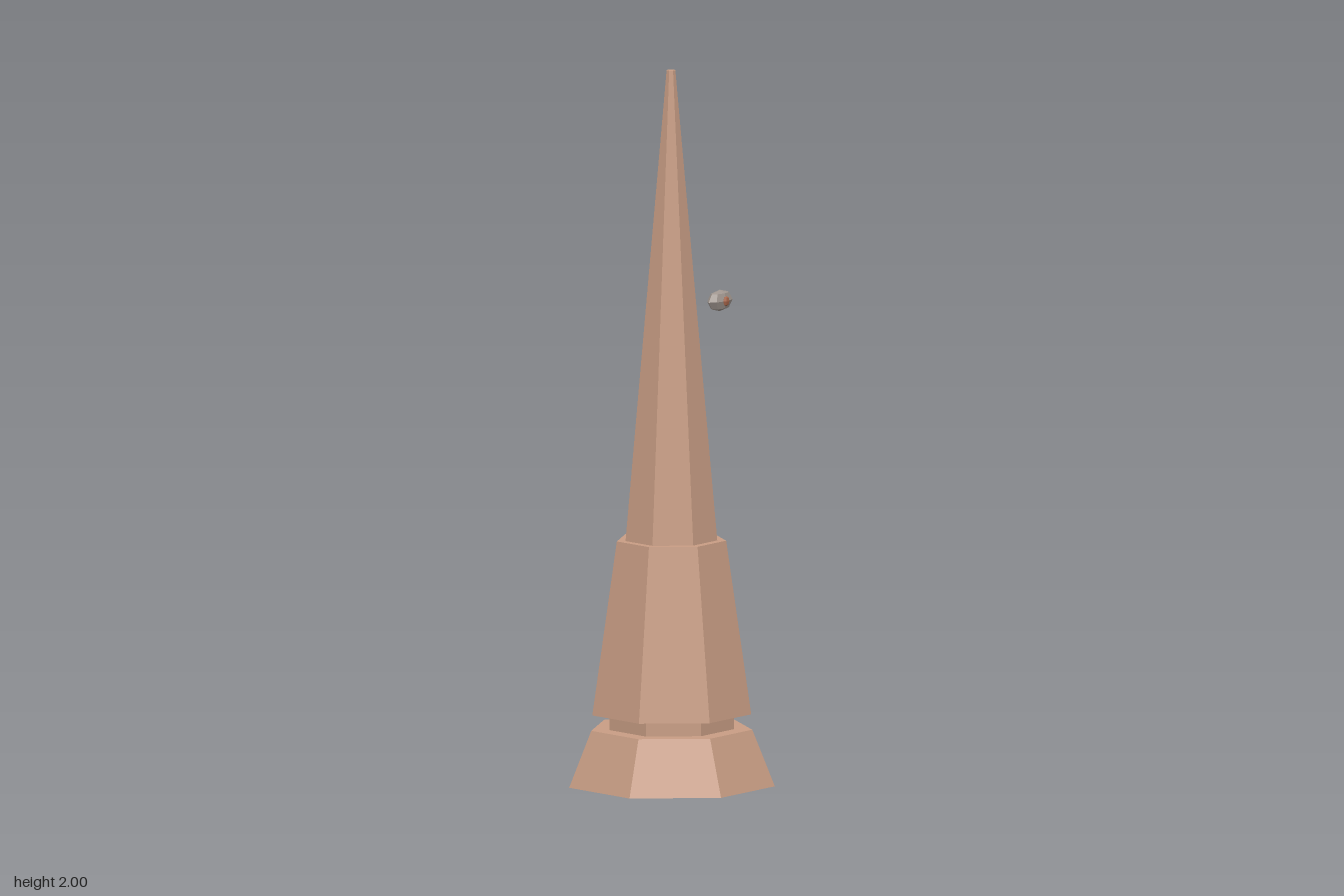
import * as THREE from 'three';

const SIDES = 7;
const CENTER_Z = 0.0125;

function material(name, color) {
  const m = new THREE.MeshStandardMaterial({ color, flatShading: true });
  m.name = name;
  return m;
}

export function createModel() {
  const group = new THREE.Group();
  group.name = 'tower';
  const stone = material('tan stone', 0xc89d84);
  const grey = material('warm grey', 0xa0968f);
  const rust = material('rust', 0xa8664a);

  // Seven-sided tapered tiers with one corner pointing back
  const tiers = [
    ['base', 0, 0.157, 0.2925, 0.229],
    ['neck', 0.157, 0.2, 0.177, 0.177],
    ['lowerTower', 0.2, 0.685, 0.226, 0.1555],
    ['spire', 0.685, 2, 0.1305, 0.0125],
  ];
  for (const [name, y0, y1, r0, r1] of tiers) {
    const geometry = new THREE.CylinderGeometry(r1, r0, y1 - y0, SIDES, 1, false, Math.PI);
    const mesh = new THREE.Mesh(geometry, stone);
    mesh.name = name;
    mesh.position.set(0, (y0 + y1) / 2, CENTER_Z);
    group.add(mesh);
  }

  // Floating faceted eye in front of the spire
  const eye = new THREE.Group();
  eye.name = 'floatingEye';
  eye.position.set(0, 1.37, 0.18);

  const eyeball = new THREE.Mesh(new THREE.SphereGeometry(1, 8, 4), grey);
  eyeball.name = 'eyeball';
  eyeball.scale.set(0.053, 0.03, 0.023);

  const pupil = new THREE.Mesh(new THREE.SphereGeometry(1, 6, 4), rust);
  pupil.name = 'pupil';
  pupil.position.z = 0.022;
  pupil.scale.set(0.014, 0.014, 0.007);

  eye.add(eyeball, pupil);
  group.add(eye);
  return group;
}
